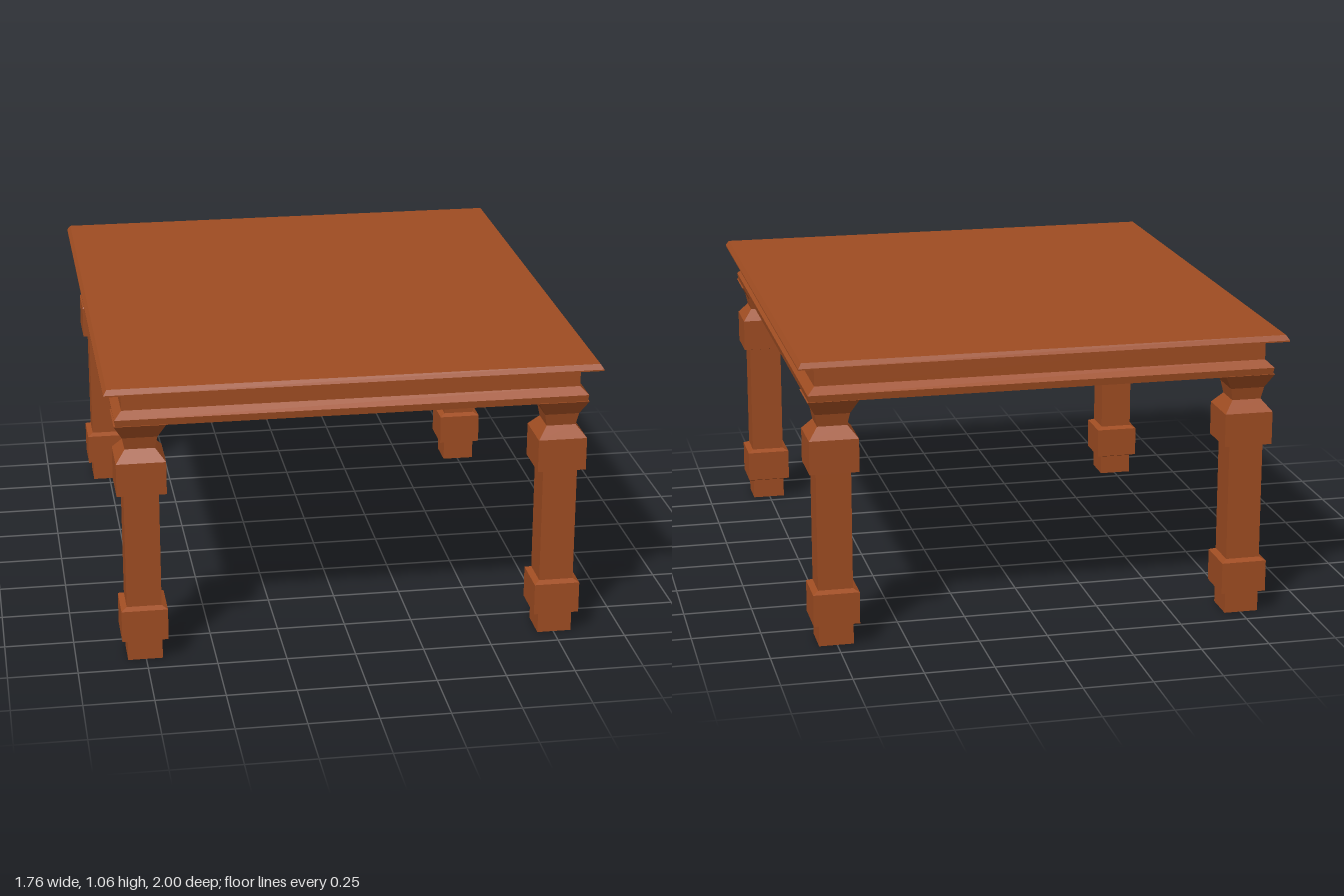
import * as THREE from 'three';

// Stacks rectangular sections [y, halfWidth, halfDepth] into a closed, flat-faced solid
function rectLoft(sections) {
  const positions = [];
  const index = [];
  for (const [y, w, d] of sections) {
    positions.push(-w, y, d, w, y, d, w, y, -d, -w, y, -d);
  }
  for (let s = 0; s < sections.length - 1; s++) {
    for (let i = 0; i < 4; i++) {
      const a = s * 4 + i;
      const b = s * 4 + (i + 1) % 4;
      index.push(a, b, b + 4, a, b + 4, a + 4);
    }
  }
  const t = (sections.length - 1) * 4;
  index.push(0, 2, 1, 0, 3, 2, t, t + 1, t + 2, t, t + 2, t + 3);
  const indexed = new THREE.BufferGeometry();
  indexed.setAttribute('position', new THREE.Float32BufferAttribute(positions, 3));
  indexed.setIndex(index);
  const geometry = indexed.toNonIndexed();
  geometry.computeVertexNormals();
  return geometry;
}

export function createModel() {
  const group = new THREE.Group();
  const wood = new THREE.MeshStandardMaterial({ color: 0xa04d22 });
  wood.name = 'reddish brown wood';

  const add = (name, geometry, x = 0, z = 0) => {
    const mesh = new THREE.Mesh(geometry, wood);
    mesh.name = name;
    mesh.position.set(x, 0, z);
    group.add(mesh);
  };

  // Table top with bevelled rim
  add('tableTop', rectLoft([
    [1.031, 0.82, 0.93], [1.038, 0.88, 1.0], [1.043, 0.88, 1.0], [1.061, 0.868, 0.988],
  ]));

  // Apron with a moulding along its lower edge
  add('apron', rectLoft([
    [0.906, 0.838, 0.948], [0.932, 0.842, 0.952], [0.958, 0.815, 0.925], [1.034, 0.815, 0.925],
  ]));

  // Square leg: foot, lower block, shaft, upper block, neck and flared capital
  const leg = rectLoft([
    [0, 0.0625], [0.075, 0.0625], [0.083, 0.083], [0.2, 0.083], [0.21, 0.0625],
    [0.64, 0.0625], [0.647, 0.088], [0.768, 0.088], [0.81, 0.053],
    [0.855, 0.062], [0.908, 0.091],
  ].map(([y, h]) => [y, h, h]));

  for (const [side, x] of [['Left', 0.753], ['Right', -0.753]]) {
    for (const [end, z] of [['front', 0.862], ['back', -0.862]]) {
      add(`${end}${side}Leg`, leg, x, z);
    }
  }
  return group;
}
